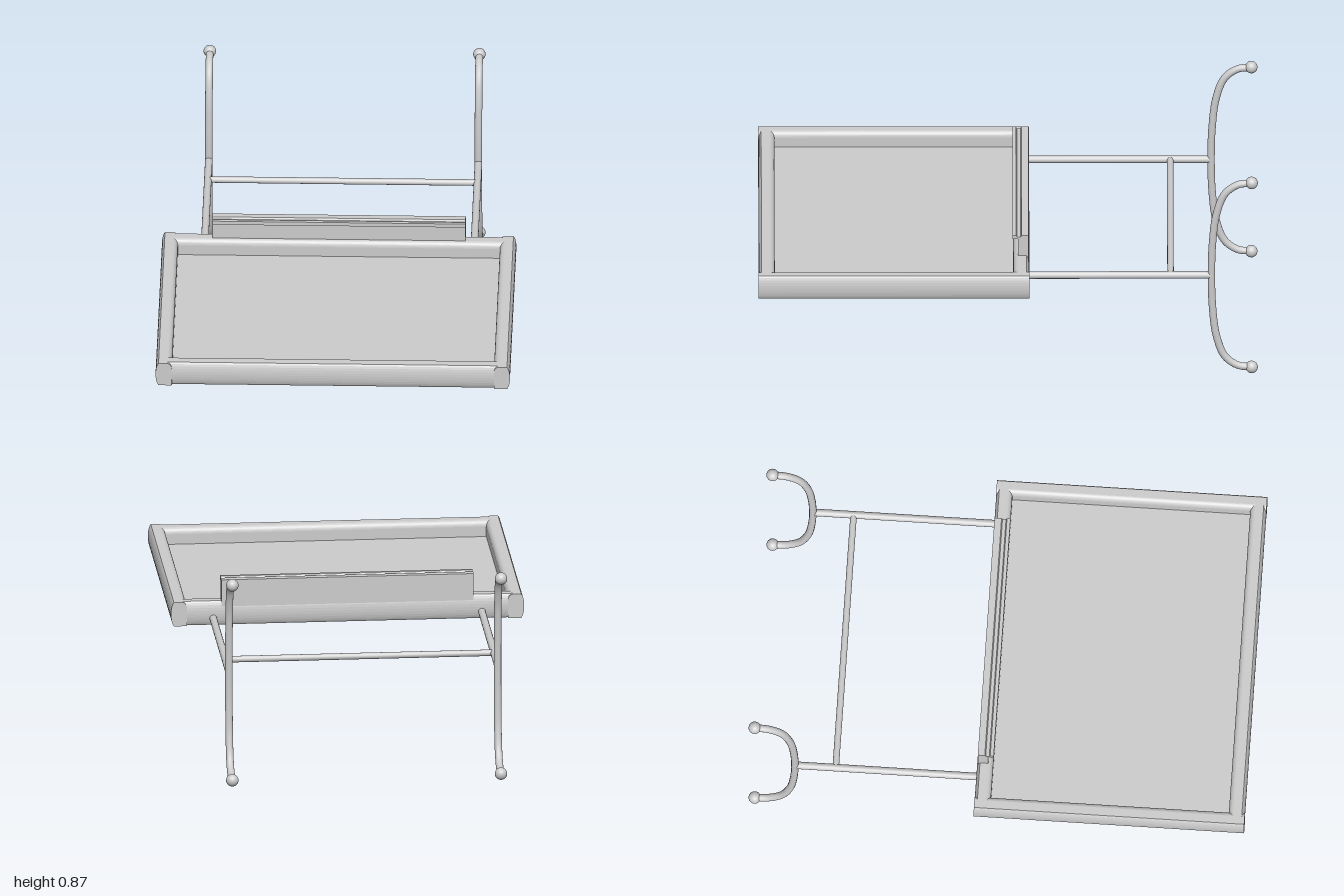
import * as THREE from 'three';

const material = new THREE.MeshStandardMaterial({ color: 0xcccccc, side: THREE.DoubleSide });
const MID = 0.434; // height of the rods

function add(parent, name, geometry, x = 0, y = 0, z = 0) {
  const mesh = new THREE.Mesh(geometry, material);
  mesh.name = name;
  mesh.position.set(x, y, z);
  parent.add(mesh);
  return mesh;
}

// Rail cross-section: u = 0 is the outer face, negative u points into the tray
function railShape() {
  const s = new THREE.Shape();
  s.moveTo(-0.065, 0.405);
  s.lineTo(-0.012, 0.405);
  s.bezierCurveTo(0.004, 0.425, 0.004, 0.485, -0.012, 0.505);
  s.lineTo(-0.045, 0.505);
  s.quadraticCurveTo(-0.063, 0.502, -0.065, 0.48);
  s.closePath();
  return s;
}

function extrude(shape, length) {
  const g = new THREE.ExtrudeGeometry(shape, { depth: length, bevelEnabled: false, curveSegments: 10 });
  return g.translate(0, 0, -length / 2);
}

// Round bar between two points
function rod(parent, name, a, b, radius) {
  const path = new THREE.LineCurve3(new THREE.Vector3(...a), new THREE.Vector3(...b));
  return add(parent, name, new THREE.TubeGeometry(path, 1, radius, 16));
}

export function createModel() {
  const model = new THREE.Group();
  model.name = 'trayWithStand';

  // Shallow tray: floor panel and four rounded rails
  const tray = new THREE.Group();
  tray.name = 'tray';
  model.add(tray);
  add(tray, 'floorPanel', new THREE.BoxGeometry(1.36, 0.03, 1.03), 0, 0.423, 0.4575);
  for (const side of [1, -1]) {
    const sideRail = add(tray, side > 0 ? 'leftRail' : 'rightRail',
      extrude(railShape(), 1.085), side * 0.71, 0, 0.4575);
    if (side < 0) sideRail.rotation.y = Math.PI;
    const endRail = add(tray, side > 0 ? 'frontRail' : 'backRail',
      extrude(railShape(), 1.36), 0, 0, side > 0 ? 1 : -0.085);
    endRail.rotation.y = -side * Math.PI / 2;
  }

  // Raised ledge on the back rail: upright with a grooved, overhanging lip
  const ledge = new THREE.Shape([
    [-0.082, 0.45], [-0.04, 0.5], [-0.04, 0.578], [-0.018, 0.578], [-0.018, 0.594],
    [-0.032, 0.594], [-0.036, 0.586], [-0.05, 0.586], [-0.054, 0.594], [-0.082, 0.594],
  ].map(([z, y]) => new THREE.Vector2(z, y)));
  add(model, 'ledge', extrude(ledge, 1.014)).rotation.y = -Math.PI / 2;

  // Stand: two rods, each carrying a bowed leg with ball ends
  for (const side of [1, -1]) {
    const leg = new THREE.Group();
    leg.name = side > 0 ? 'leftLeg' : 'rightLeg';
    leg.position.x = side * 0.54;
    model.add(leg);
    rod(leg, 'supportRod', [0, MID, -0.07], [0, MID, -0.815], 0.015);
    const half = [[0.407, -0.97], [0.4, -0.92], [0.36, -0.868], [0.27, -0.834], [0.14, -0.818]];
    const points = [
      ...half.map(([h, z]) => new THREE.Vector3(0, MID + h, z)),
      new THREE.Vector3(0, MID, -0.814),
      ...half.slice().reverse().map(([h, z]) => new THREE.Vector3(0, MID - h, z)),
    ];
    add(leg, 'bowedBar', new THREE.TubeGeometry(new THREE.CatmullRomCurve3(points), 64, 0.015, 14));
    for (const end of [1, -1]) {
      add(leg, 'ballEnd', new THREE.SphereGeometry(0.025, 20, 14), 0, MID + end * 0.408, -0.975);
    }
  }
  rod(model, 'crossbar', [-0.54, MID, -0.65], [0.54, MID, -0.65], 0.013);

  return model;
}
